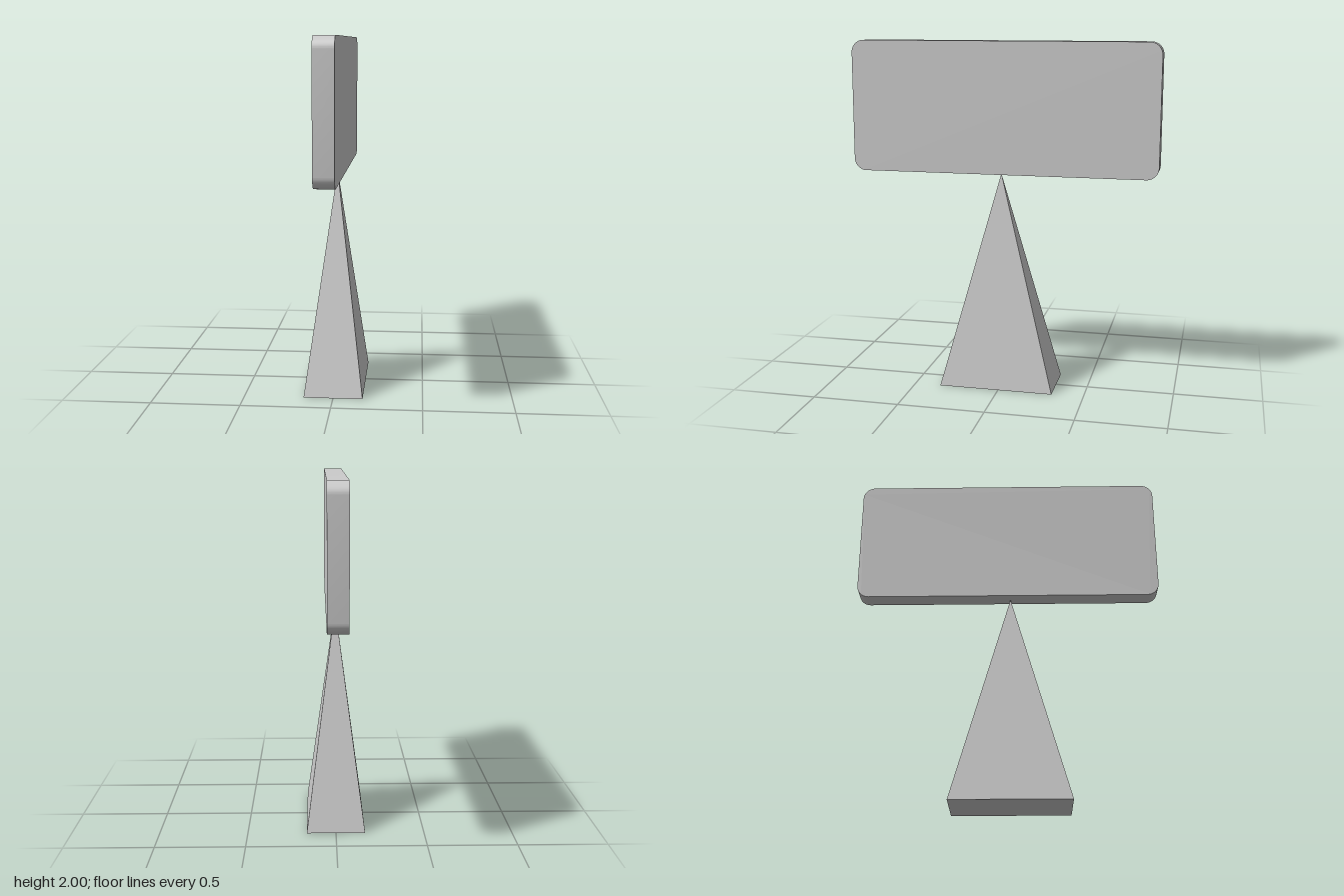
import * as THREE from 'three';
import { toCreasedNormals } from 'three/addons/utils/BufferGeometryUtils.js';

// Rounded rectangle centred on the origin
function roundedRect(w, h, r) {
  const x = w / 2 - r, y = h / 2 - r;
  const shape = new THREE.Shape();
  shape.absarc(x, y, r, 0, Math.PI / 2);
  shape.absarc(-x, y, r, Math.PI / 2, Math.PI);
  shape.absarc(-x, -y, r, Math.PI, Math.PI * 1.5);
  shape.absarc(x, -y, r, Math.PI * 1.5, Math.PI * 2);
  shape.closePath();
  return shape;
}

export function createModel() {
  const model = new THREE.Group();

  // Upright panel with rounded corners, facing sideways
  const thickness = 0.11;
  const panelGeo = new THREE.ExtrudeGeometry(roundedRect(1.766, 0.75, 0.07), {
    depth: thickness, bevelEnabled: false, curveSegments: 12,
  });
  panelGeo.translate(0, 0, -thickness / 2).rotateY(Math.PI / 2);
  const panel = new THREE.Mesh(
    toCreasedNormals(panelGeo, 0.6),
    new THREE.MeshStandardMaterial({ color: 0xcccccc })
  );
  panel.name = 'panel';
  panel.position.y = 1.625;
  model.add(panel);

  // Four-sided pyramid stand, its tip touching the panel
  const height = 1.25;
  const standGeo = new THREE.ConeGeometry(Math.SQRT1_2, height, 4);
  standGeo.rotateY(Math.PI / 4).scale(0.331, 1, 0.663);
  const stand = new THREE.Mesh(
    standGeo,
    new THREE.MeshStandardMaterial({ color: 0xcccccc, flatShading: true })
  );
  stand.name = 'stand';
  stand.position.set(0, height / 2, 0.016);
  model.add(stand);

  return model;
}
